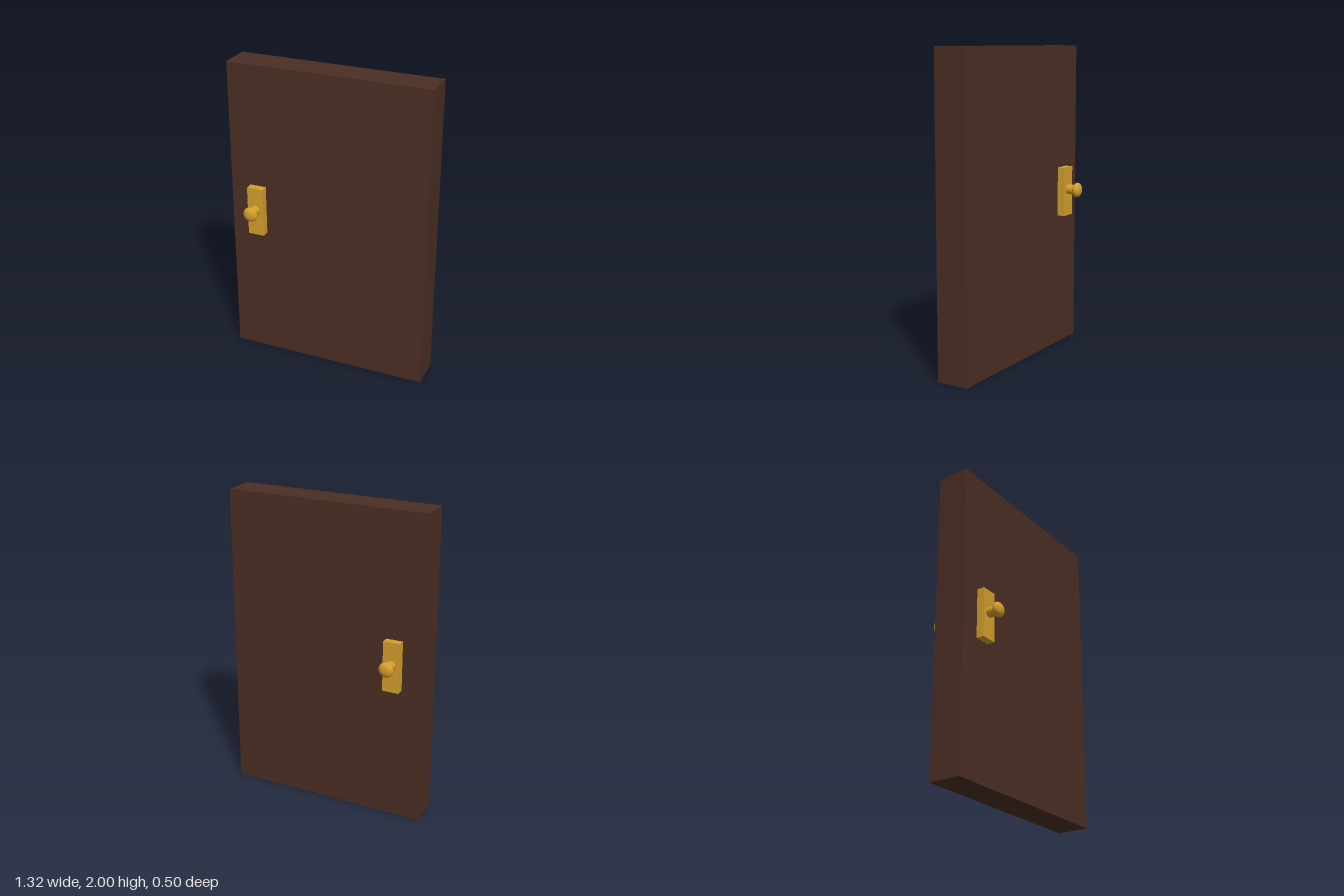
import * as THREE from 'three';

export function createModel() {
  const wood = new THREE.MeshStandardMaterial({ color: 0x4a2e24 });
  wood.name = 'dark wood';
  const brass = new THREE.MeshStandardMaterial({ color: 0xd4a02c });
  brass.name = 'brass';

  const model = new THREE.Group();
  model.name = 'door';

  function add(parent, name, geometry, material, x, y, z) {
    const mesh = new THREE.Mesh(geometry, material);
    mesh.name = name;
    mesh.position.set(x, y, z);
    parent.add(mesh);
    return mesh;
  }

  // Solid slab
  add(model, 'doorPanel', new THREE.BoxGeometry(1.32, 2, 0.208), wood, 0, 1, 0);

  // Backplate, stem and flattened knob, facing +z
  function handle(name) {
    const group = new THREE.Group();
    group.name = name;
    add(group, 'backplate', new THREE.BoxGeometry(0.108, 0.324, 0.05), brass, 0, 1.04, 0.129);
    const stem = new THREE.CylinderGeometry(0.032, 0.032, 0.07, 32, 1, true);
    add(group, 'stem', stem.rotateX(Math.PI / 2), brass, 0, 1.053, 0.185);
    const knob = new THREE.SphereGeometry(0.048, 32, 20);
    add(group, 'knob', knob.scale(1, 1, 0.58), brass, 0, 1.053, 0.222);
    return group;
  }

  // One handle on each face, at the same edge of the door
  for (const [name, turn] of [['frontHandle', 0], ['backHandle', Math.PI]]) {
    const group = handle(name);
    group.position.x = -0.474;
    group.rotation.y = turn;
    model.add(group);
  }

  return model;
}
